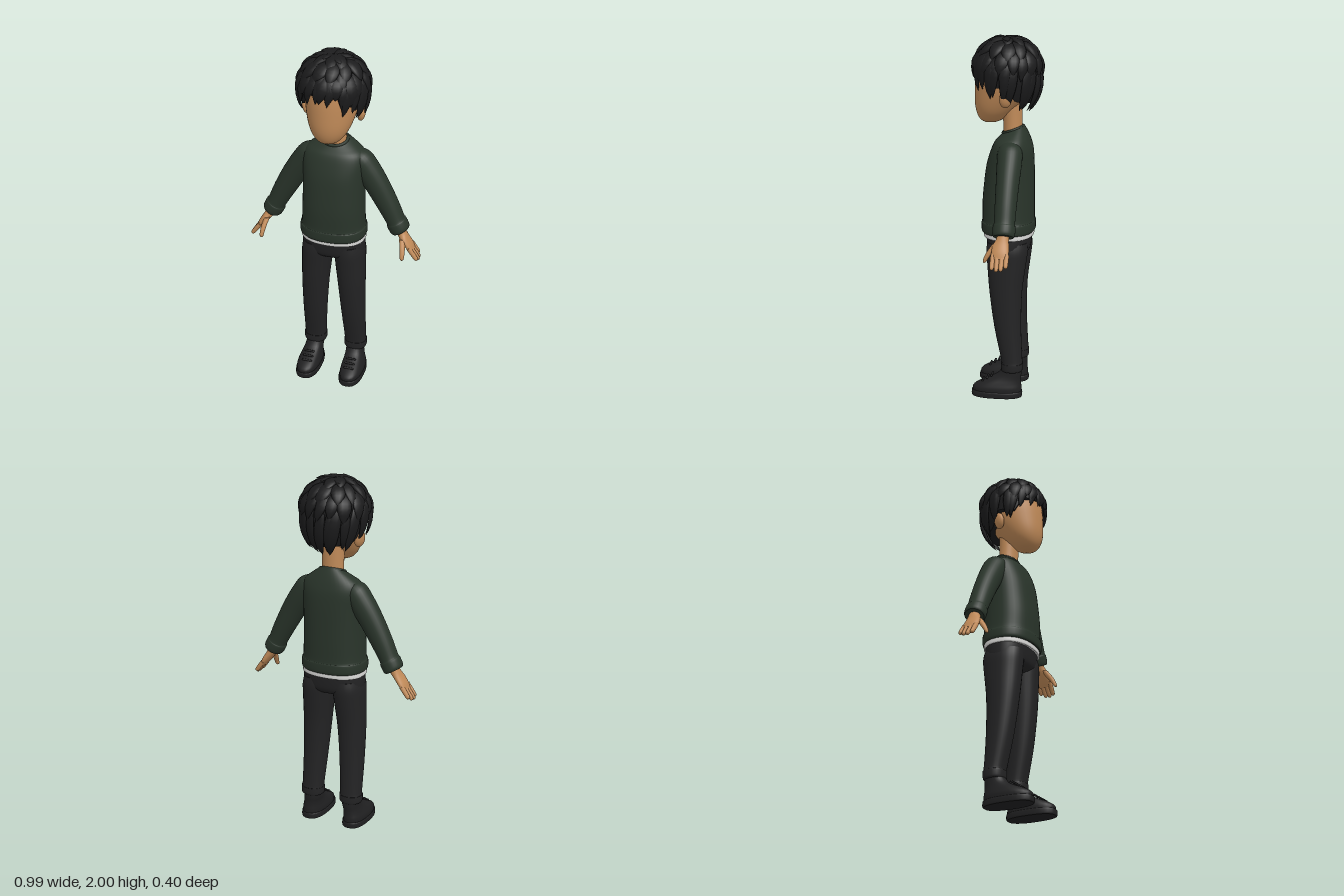
import * as THREE from 'three';

const mat = (name, color) => Object.assign(new THREE.MeshStandardMaterial({ color }), { name });

// Skin a stack of closed rings (arrays of Vector3) with flat end caps
function skin(rings) {
  const n = rings[0].length, pos = [], idx = [];
  rings.forEach(r => r.forEach(p => pos.push(p.x, p.y, p.z)));
  for (let i = 0; i < rings.length - 1; i++) {
    for (let j = 0; j < n; j++) {
      const a = i * n + j, c = i * n + (j + 1) % n;
      idx.push(a, a + n, c, a + n, c + n, c);
    }
  }
  [rings[0], rings[rings.length - 1]].forEach((ring, end) => {
    const base = pos.length / 3, mid = new THREE.Vector3();
    ring.forEach(p => { pos.push(p.x, p.y, p.z); mid.addScaledVector(p, 1 / n); });
    pos.push(mid.x, mid.y, mid.z);
    for (let j = 0; j < n; j++) {
      const a = base + j, b = base + (j + 1) % n;
      end ? idx.push(b, a, base + n) : idx.push(a, b, base + n);
    }
  });
  const g = new THREE.BufferGeometry();
  g.setAttribute('position', new THREE.Float32BufferAttribute(pos, 3));
  g.setIndex(idx);
  g.computeVertexNormals();
  return g;
}

// Smooth loft, bottom to top. Ring: [x, y, z, halfWidth, halfDepth, tilt, pitch]; side = -1 mirrors it
function loft(rows, { side = 1, power = 2, segs = 28, sub = 4 } = {}) {
  const at = (i, k) => rows[Math.max(0, Math.min(rows.length - 1, i))][k] || 0;
  const rings = [];
  for (let s = 0; s <= (rows.length - 1) * sub; s++) {
    const i = Math.floor(s / sub), t = s / sub - i;
    const [x, y, z, a, b, tilt, pitch] = [0, 1, 2, 3, 4, 5, 6].map(k => {
      const p0 = at(i - 1, k), p1 = at(i, k), p2 = at(i + 1, k), p3 = at(i + 2, k);
      return p1 + 0.5 * t * (p2 - p0 + t * (2 * p0 - 5 * p1 + 4 * p2 - p3 + t * (3 * (p1 - p2) + p3 - p0)));
    });
    const ring = [];
    for (let j = 0; j < segs; j++) {
      const f = j / segs * Math.PI * 2, c = Math.cos(f), d = Math.sin(f);
      const u = a * Math.sign(c) * Math.abs(c) ** (2 / power), v = b * Math.sign(d) * Math.abs(d) ** (2 / power);
      ring.push(new THREE.Vector3(side * x + u * Math.cos(tilt), y + side * u * Math.sin(tilt) + pitch * v, z + v));
    }
    rings.push(ring);
  }
  return skin(rings);
}

// Hair shell: azimuth a from the front, polar angle p from the crown
function hairPoint(a, p, lift) {
  const k = 1 + lift / 0.175, c = Math.cos(p), r = Math.sin(p) * k;
  return new THREE.Vector3(0.176 * r * Math.sin(a), 1.81 + (c > 0 ? 0.167 : 0.26) * c * k, -0.004 + 0.176 * r * Math.cos(a));
}
function hairline(a) {
  const w = Math.abs(Math.atan2(Math.sin(a), Math.cos(a)));
  const line = [[0, 1.5], [0.75, 1.58], [1.05, 1.9], [1.6, 1.85], [2, 2.2], [3.2, 2.3]];
  const i = line.findIndex(q => q[0] > w), [x0, y0] = line[i - 1], [x1, y1] = line[i];
  return y0 + (y1 - y0) * (w - x0) / (x1 - x0);
}

// A pointed leaf-shaped lock lying along the hair shell
function lock(a0, p0, p1, width, twist, flare) {
  const rings = [], steps = 8;
  const path = t => hairPoint(a0 + twist * t, p0 + (p1 - p0) * t, 0.003 + 0.008 * Math.sin(Math.PI * t) + flare * t * t);
  for (let i = 0; i <= steps; i++) {
    const t = i / steps, o = path(t), a = a0 + twist * t, p = p0 + (p1 - p0) * t;
    const T = path(t + 0.02).sub(path(t - 0.02)).normalize();
    const N = hairPoint(a, p, 0.05).sub(hairPoint(a, p, 0));
    const S = T.clone().cross(N).normalize();
    N.crossVectors(S, T);
    const w = width * Math.sin(Math.PI * (0.15 + 0.85 * t)) ** 0.75 + 0.0005;
    rings.push(Array.from({ length: 10 }, (_, j) => {
      const f = j / 10 * Math.PI * 2;
      return o.clone().addScaledVector(S, w * Math.cos(f)).addScaledVector(N, w * 0.4 * Math.sin(f));
    }));
  }
  return skin(rings);
}

export function createModel() {
  const model = new THREE.Group();
  const skinTone = mat('skin', 0xc08a58), green = mat('dark green knit', 0x29342a);
  const trouser = mat('trouser black', 0x232324), black = mat('hair black', 0x1b1b1c);
  const shoe = mat('shoe black', 0x202021), white = mat('shirt white', 0xd6d6d4);
  const add = (name, geo, m, parent = model) => {
    const mesh = new THREE.Mesh(geo, m);
    mesh.name = name;
    parent.add(mesh);
    return mesh;
  };
  let seed = 7;
  const rnd = () => (seed = seed * 16807 % 2147483647) / 2147483647;
  const jit = s => (rnd() - 0.5) * 2 * s;

  // Head and neck
  add('head', loft([
    [0, 1.53, 0.09, 0.025, 0.03], [0, 1.545, 0.085, 0.06, 0.06], [0, 1.58, 0.07, 0.092, 0.094],
    [0, 1.63, 0.05, 0.116, 0.124], [0, 1.7, 0.02, 0.136, 0.155], [0, 1.78, 0.005, 0.146, 0.166],
    [0, 1.86, 0, 0.14, 0.158], [0, 1.92, 0, 0.1, 0.115], [0, 1.95, 0, 0.02, 0.02]], { segs: 40 }), skinTone);
  add('neck', loft([[0, 1.43, -0.035, 0.07, 0.056], [0, 1.5, -0.033, 0.062, 0.052], [0, 1.64, -0.03, 0.062, 0.055]]), skinTone);

  // Hair: shell plus overlapping rows of locks
  const hair = new THREE.Group();
  hair.name = 'hair';
  model.add(hair);
  const shell = Array.from({ length: 13 }, (_, i) => Array.from({ length: 48 }, (_, j) => {
    const a = Math.PI / 2 - j / 48 * Math.PI * 2;
    return hairPoint(a, hairline(a) * (1 - i / 12) + 0.001, 0);
  }));
  add('hairShell', skin(shell), black, hair);
  const rows = [
    { n: 22, from: -0.85, to: 0.16, w: 0.03, flare: 0.006, edge: true },
    { n: 18, from: 0.85, to: 1.65, w: 0.036, flare: 0.012 },
    { n: 13, from: 0.45, to: 1.2, w: 0.036, flare: 0.014 },
    { n: 8, from: 0.1, to: 0.78, w: 0.032, flare: 0.016 }];
  rows.forEach((row, r) => {
    for (let i = 0; i < row.n; i++) {
      const a = (i + r * 0.4) / row.n * Math.PI * 2 + jit(0.08), e = row.edge ? hairline(a) : 0;
      add('hairLock', lock(a, e + row.from + jit(0.08), e + row.to + jit(0.09), row.w * (1 + jit(0.15)),
        -0.2 + jit(0.15), row.flare + jit(0.006)), black, hair);
    }
  });
  // Fringe, sideburns and crown spikes
  [[-0.85, 1.84], [-0.5, 1.76], [-0.2, 1.7], [0.2, 1.66], [0.55, 1.78], [0.9, 1.9], [-1.15, 2.02], [1.12, 2.02], [1.25, 2.05], [-1.28, 2.05]]
    .forEach(([a, p]) => add('fringeLock', lock(a + 0.12, p - 0.85, p, 0.03, -0.15, 0.008), black, hair));
  for (let i = 0; i < 6; i++) add('crownSpike', lock(i * 1.05 + 0.4, 0.05, 0.5 + jit(0.1), 0.022, 0.3, 0.026), black, hair);

  // Sweater body with ribbed hem, shirt edge and hips
  add('sweaterBody', loft([
    [0, 0.93, -0.01, 0.178, 0.14], [0, 0.943, -0.01, 0.186, 0.147], [0, 0.985, -0.01, 0.185, 0.147],
    [0, 1.0, -0.01, 0.177, 0.142], [0, 1.1, -0.01, 0.173, 0.142], [0, 1.2, -0.014, 0.171, 0.137],
    [0, 1.3, -0.02, 0.172, 0.129], [0, 1.38, -0.029, 0.176, 0.114], [0, 1.43, -0.034, 0.163, 0.097],
    [0, 1.465, -0.036, 0.12, 0.078, 0, -0.15], [0, 1.492, -0.035, 0.075, 0.061, 0, -0.35]], { power: 2.3, segs: 40 }), green);
  const collar = add('collar', new THREE.TorusGeometry(0.068, 0.009, 10, 36), green);
  collar.scale.y = 0.86;
  collar.rotation.x = Math.PI / 2 + 0.33;
  collar.position.set(0, 1.492, -0.034);
  add('shirtEdge', loft([[0, 0.905, -0.012, 0.177, 0.133], [0, 0.912, -0.012, 0.181, 0.137], [0, 0.945, -0.012, 0.178, 0.135]],
    { power: 2.3, segs: 40 }), white);
  add('hips', loft([[0, 0.79, -0.015, 0.1, 0.06], [0, 0.805, -0.015, 0.15, 0.092], [0, 0.83, -0.015, 0.174, 0.113],
    [0, 0.88, -0.014, 0.177, 0.122], [0, 0.93, -0.013, 0.173, 0.126]], { power: 2.3, segs: 40 }), trouser);

  for (const side of [1, -1]) {
    const limb = (name, rows, m, opt) => add((side > 0 ? 'left' : 'right') + name, loft(rows, { side, ...opt }), m);

    // Ear
    const ear = add(side > 0 ? 'leftEar' : 'rightEar', new THREE.SphereGeometry(1, 20, 14), skinTone);
    ear.scale.set(0.022, 0.048, 0.034);
    ear.position.set(side * 0.149, 1.675, -0.015);
    ear.rotation.set(0, side * 0.4, -side * 0.15);

    // Sleeve with cuff
    limb('Sleeve', [
      [0.375, 0.983, -0.04, 0.05, 0.054, 0.5], [0.368, 0.996, -0.04, 0.057, 0.06, 0.5], [0.35, 1.03, -0.04, 0.058, 0.06, 0.5],
      [0.343, 1.045, -0.04, 0.053, 0.056, 0.5], [0.3, 1.13, -0.04, 0.06, 0.058, 0.5], [0.238, 1.24, -0.04, 0.067, 0.062, 0.52],
      [0.177, 1.335, -0.04, 0.07, 0.067, 0.6], [0.135, 1.395, -0.038, 0.062, 0.065, 0.7], [0.08, 1.43, -0.036, 0.03, 0.04, 0.8]], green);

    // Hand
    limb('Palm', [[0.447, 0.878, -0.03, 0.013, 0.04, 0.6], [0.428, 0.907, -0.03, 0.02, 0.046, 0.6],
      [0.402, 0.943, -0.03, 0.023, 0.043, 0.6], [0.384, 0.97, -0.036, 0.026, 0.034, 0.55], [0.362, 1.005, -0.04, 0.03, 0.033, 0.5]], skinTone);
    [-0.066, -0.042, -0.018, 0.006].forEach((z, i) => {
      const l = [0.82, 1, 1.04, 0.94][i], tip = (f, r) => [0.432 + 0.054 * f * l, 0.902 - 0.073 * f * l, z, r, r, 0.6];
      limb('Finger', [tip(1, 0.003), tip(0.95, 0.009), tip(0.8, 0.012), tip(0.4, 0.013), tip(0, 0.013)], skinTone, { segs: 12 });
    });
    limb('Thumb', [[0.408, 0.85, 0.058, 0.003, 0.003], [0.408, 0.856, 0.055, 0.01, 0.009], [0.407, 0.875, 0.047, 0.013, 0.013],
      [0.402, 0.91, 0.026, 0.015, 0.017], [0.392, 0.95, -0.005, 0.016, 0.02]], skinTone, { segs: 14 });

    // Trouser leg with cuff
    limb('TrouserLeg', [
      [0.122, 0.15, -0.047, 0.058, 0.054], [0.122, 0.158, -0.047, 0.065, 0.06], [0.122, 0.195, -0.047, 0.066, 0.061],
      [0.121, 0.21, -0.046, 0.062, 0.058], [0.115, 0.4, -0.022, 0.068, 0.074], [0.107, 0.6, -0.01, 0.076, 0.09],
      [0.098, 0.75, -0.013, 0.083, 0.106], [0.093, 0.83, -0.015, 0.086, 0.114], [0.088, 0.88, -0.014, 0.08, 0.11]], trouser, { power: 2.2 });

    // Shoe: sole, upper, laces
    limb('Sole', [[0.131, 0, 0.037, 0.066, 0.139], [0.131, 0.006, 0.037, 0.069, 0.143], [0.131, 0.028, 0.037, 0.069, 0.143],
      [0.131, 0.034, 0.037, 0.065, 0.139]], shoe, { power: 2.5 });
    limb('ShoeUpper', [[0.131, 0.03, 0.036, 0.065, 0.138], [0.131, 0.055, 0.034, 0.065, 0.136], [0.129, 0.08, 0.017, 0.059, 0.116],
      [0.126, 0.105, -0.012, 0.053, 0.086], [0.123, 0.13, -0.034, 0.051, 0.066], [0.122, 0.165, -0.047, 0.05, 0.053]],
    shoe, { power: 2.3 });
    for (let i = 0; i < 3; i++) {
      const lace = add('shoeLace', new THREE.CapsuleGeometry(0.006, 0.05, 4, 8), shoe);
      lace.rotation.z = Math.PI / 2;
      lace.position.set(side * 0.127, 0.088 + i * 0.016, 0.115 - i * 0.025);
    }
  }
  return model;
}
